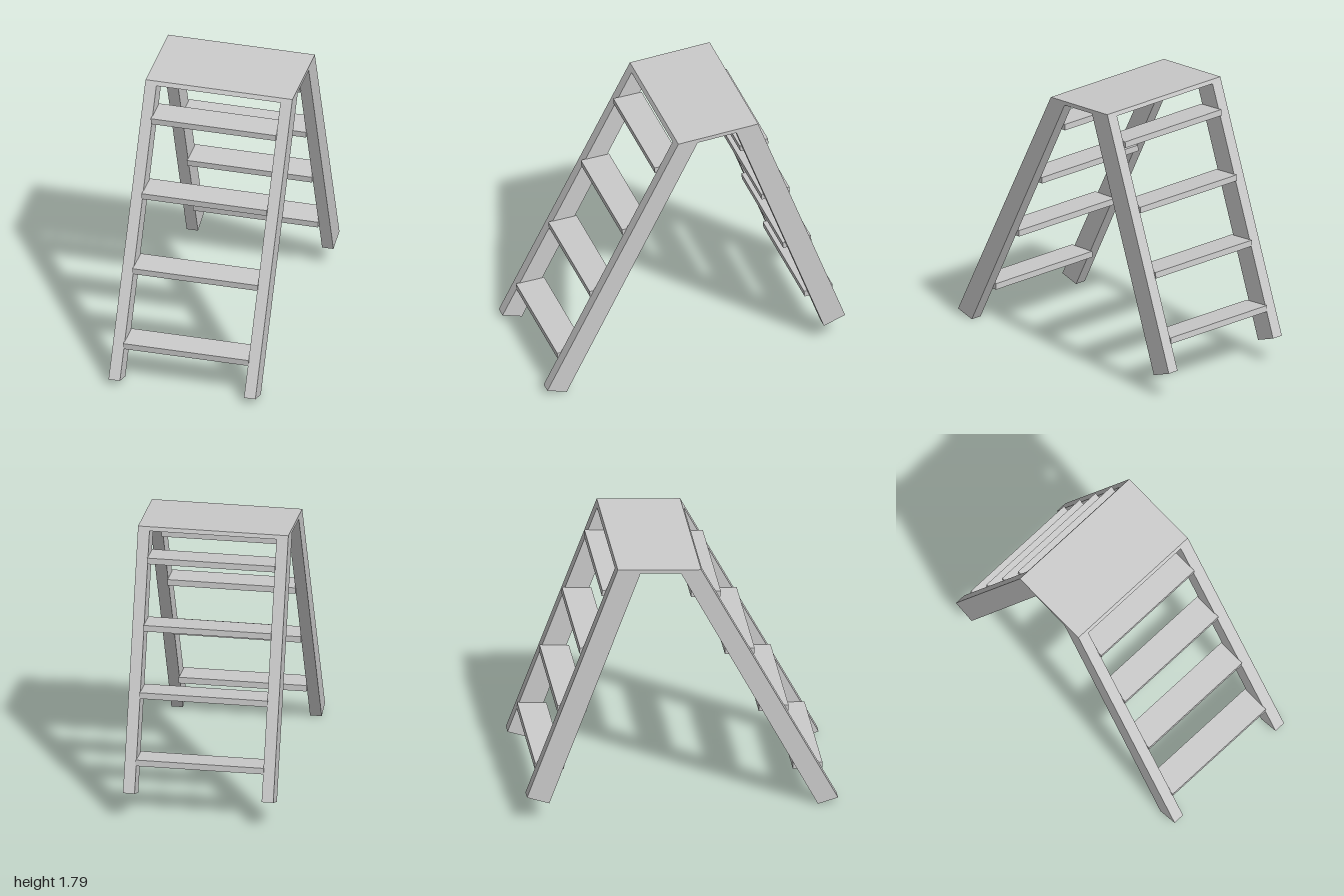
import * as THREE from 'three';

const material = new THREE.MeshStandardMaterial({ color: 0xcccccc, flatShading: true });
const HALF_WIDTH = 0.485;
const LEG_WIDTH = 0.075;

// Extrudes a side profile of [z, y] points across x, centred on the given x
function sideProfile(name, points, width, x = 0) {
  const shape = new THREE.Shape(points.map(([z, y]) => new THREE.Vector2(-z, y)));
  const geometry = new THREE.ExtrudeGeometry(shape, { depth: width, bevelEnabled: false });
  geometry.translate(0, 0, -width / 2).rotateY(Math.PI / 2);
  const mesh = new THREE.Mesh(geometry, material);
  mesh.name = name;
  mesh.position.x = x;
  return mesh;
}

// Evenly spaced treads between the lowest and highest [z, y] centres
function stairs(name, low, high, tilt) {
  const group = new THREE.Group();
  group.name = name;
  const count = 4;
  for (let i = 0; i < count; i++) {
    const t = i / (count - 1);
    const tread = new THREE.Mesh(new THREE.BoxGeometry(2 * (HALF_WIDTH - LEG_WIDTH) + 0.006, 0.04, 0.19), material);
    tread.name = 'tread' + (i + 1);
    tread.position.set(0, THREE.MathUtils.lerp(low[1], high[1], t), THREE.MathUtils.lerp(low[0], high[0], t));
    tread.rotation.x = tilt;
    group.add(tread);
  }
  return group;
}

export function createModel() {
  const model = new THREE.Group();
  model.name = 'stepladder';

  // Sloping top platform, its ends mitred to follow the legs
  model.add(sideProfile('topPlatform', [
    [0.12, 1.748], [0.134, 1.721], [-0.01, 1.731], [-0.27, 1.751], [-0.425, 1.761], [-0.416, 1.787],
  ], 2 * HALF_WIDTH));

  // Mirrored legs
  for (const [side, sign] of [['left', 1], ['right', -1]]) {
    const x = sign * (HALF_WIDTH - LEG_WIDTH / 2);
    model.add(sideProfile(side + 'FrontLeg',
      [[0.134, 1.721], [1, 0.036], [0.87, 0], [-0.01, 1.731]], LEG_WIDTH, x));
    model.add(sideProfile(side + 'BackLeg',
      [[-0.27, 1.751], [-0.857, 0.132], [-1, 0.184], [-0.425, 1.761]], LEG_WIDTH, x));
  }

  // Treads, tilted slightly up towards the back
  model.add(stairs('frontTreads', [0.814, 0.244], [0.16, 1.532], 0.05));
  model.add(stairs('backTreads', [-0.845, 0.363], [-0.413, 1.579], 0.09));
  return model;
}
